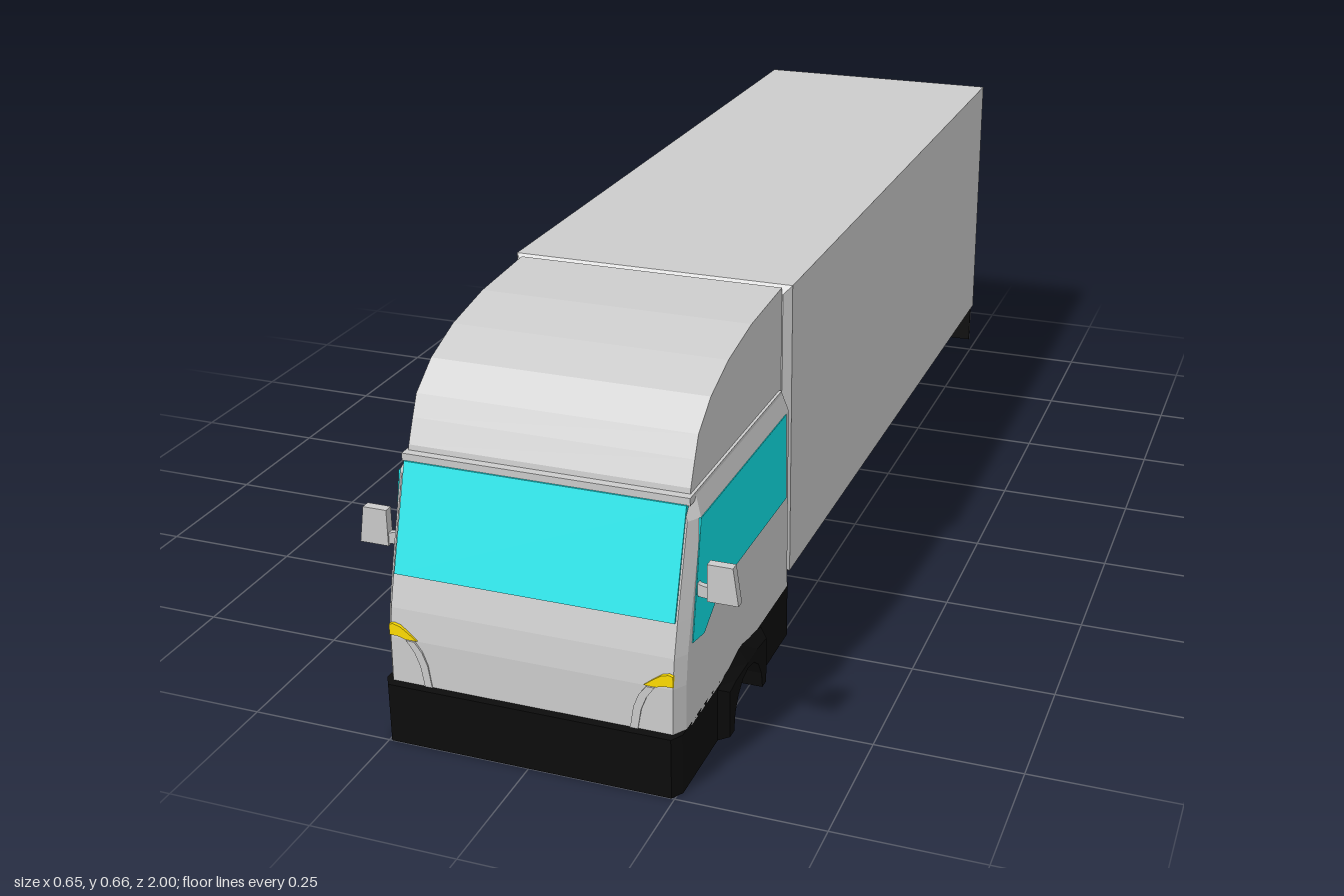
import * as THREE from 'three';

const mat = (color) => new THREE.MeshStandardMaterial({ color, flatShading: true });
const grey = mat(0xcccccc), black = mat(0x0c0c0c), glass = mat(0x0fe5e9);
const yellow = mat(0xffdd00), red = mat(0xdd1111);

export function createModel() {
  const model = new THREE.Group();
  const add = (name, geometry, material, parent = model) => {
    const mesh = new THREE.Mesh(geometry, material);
    mesh.name = name;
    parent.add(mesh);
    return mesh;
  };
  const shapeOf = (pts) => new THREE.Shape(pts.map((p) => new THREE.Vector2(p[0], p[1])));
  const extrude = (shape, depth) => new THREE.ExtrudeGeometry(shape, { depth, bevelEnabled: false, curveSegments: 10 });
  const box = (x0, x1, y0, y1, z0, z1) => new THREE.BoxGeometry(x1 - x0, y1 - y0, z1 - z0)
    .translate((x0 + x1) / 2, (y0 + y1) / 2, (z0 + z1) / 2);
  // side profile of [z, y] points, extruded from x0 to x1
  const profile = (pts, x0, x1) => extrude(shapeOf(pts), x1 - x0).rotateY(-Math.PI / 2).translate(x1, 0, 0);
  // skin over stacked rings: [{ y, ring: [[x, z], ...] }], with both ends closed
  const loft = (sections) => {
    const pos = [], n = sections[0].ring.length;
    const put = (s, i) => pos.push(s.ring[i % n][0], s.y, s.ring[i % n][1]);
    for (let k = 0; k + 1 < sections.length; k++) {
      const a = sections[k], b = sections[k + 1];
      for (let i = 0; i < n; i++) {
        put(a, i); put(a, i + 1); put(b, i + 1);
        put(a, i); put(b, i + 1); put(b, i);
      }
    }
    const bottom = sections[0], top = sections[sections.length - 1];
    for (let i = 1; i + 1 < n; i++) {
      put(top, 0); put(top, i); put(top, i + 1);
      put(bottom, 0); put(bottom, i + 1); put(bottom, i);
    }
    const g = new THREE.BufferGeometry();
    g.setAttribute('position', new THREE.Float32BufferAttribute(pos, 3));
    g.computeVertexNormals();
    return g;
  };

  // cargo box with chamfered edges
  const c = 0.013, hw = 0.255 - c;
  const cargo = new THREE.ExtrudeGeometry(
    shapeOf([[-hw, 0.12 + c], [hw, 0.12 + c], [hw, 0.66 - c], [-hw, 0.66 - c]]),
    { depth: 1.455 - 2 * c, bevelEnabled: true, bevelSegments: 1, bevelSize: c, bevelThickness: c });
  add('cargoBox', cargo.translate(0, 0, -1 + c), grey);
  add('cargoFloor', box(-0.247, 0.247, 0.113, 0.125, -0.99, 0.46), black);

  // cab shell: [y, front z, half width]
  const cab = [[0.1, 0.985, 0.257], [0.185, 0.983, 0.257], [0.235, 0.975, 0.257],
    [0.29, 0.96, 0.257], [0.44, 0.914, 0.257], [0.47, 0.903, 0.245]];
  add('cabShell', loft(cab.map(([y, z, w]) => ({
    y, ring: [[-w, 0.463], [-w, z - 0.022], [-w + 0.014, z], [w - 0.014, z], [w, z - 0.022], [w, 0.463]],
  }))), grey);

  // roof fairing and the visor strip beneath it
  add('roofFairing', profile([[0.455, 0.465], [0.893, 0.465], [0.89, 0.485], [0.872, 0.525], [0.855, 0.56],
    [0.80, 0.60], [0.72, 0.63], [0.61, 0.65], [0.455, 0.659]], -0.24, 0.24), grey);
  add('visorStrip', box(-0.245, 0.245, 0.463, 0.476, 0.465, 0.906), grey);

  // windscreen and side windows
  add('windscreen', loft([[0.29, 0.96], [0.464, 0.905]].map(([y, z]) => ({
    y, ring: [[-0.24, z - 0.01], [-0.24, z + 0.004], [0.24, z + 0.004], [0.24, z - 0.01]],
  }))), glass);
  const windowPts = [[0.935, 0.245], [0.895, 0.44], [0.48, 0.44], [0.475, 0.28], [0.75, 0.28], [0.83, 0.265], [0.885, 0.235]];
  add('sideWindowLeft', profile(windowPts, 0.25, 0.2585), glass);
  add('sideWindowRight', profile(windowPts, -0.2585, -0.25), glass);

  // bumper and lower skirt, with a wheel well pocket on each side
  add('skirtCore', box(-0.16, 0.16, 0, 0.106, 0.46, 0.975), black);
  add('bumper', loft([0, 0.106].map((y) => ({
    y, ring: [[-0.257, 0.965], [-0.257, 0.98], [-0.245, 1], [0.245, 1], [0.257, 0.98], [0.257, 0.965]],
  }))), black);
  const arch = [];
  for (let i = 0; i <= 8; i++) {
    const a = (i / 8) * Math.PI;
    arch.push([0.715 - 0.072 * Math.cos(a), 0.08 * Math.sin(a)]);
  }
  const skirt = [[0.46, 0], ...arch, [0.97, 0], [0.97, 0.106], [0.46, 0.106]];
  const flarePts = [[0.60, 0], ...arch, [0.83, 0], [0.83, 0.1], [0.79, 0.11],
    [0.72, 0.125], [0.66, 0.112], [0.60, 0.1]];
  for (const side of [1, -1]) {
    const [x0, x1] = side > 0 ? [0.15, 0.257] : [-0.257, -0.15];
    add('wheelWellSkirt', profile(skirt, x0, x1), black);
    // flare narrows towards its outer face
    const flare = side > 0 ? profile(flarePts, 0.25, 0.273) : profile(flarePts, -0.273, -0.25);
    const p = flare.attributes.position;
    for (let i = 0; i < p.count; i++) {
      const dz = p.getZ(i) - 0.715, y = p.getY(i);
      if (Math.abs(p.getX(i)) > 0.26 && (Math.abs(dz) > 0.0725 || y > 0.085)) {
        p.setZ(i, 0.715 + dz * 0.8);
        p.setY(i, y > 0.105 ? 0.09 : y * 0.85);
      }
    }
    flare.computeVertexNormals();
    add('wheelArchFlare', flare, black);
  }

  // parts mirrored left and right
  for (const side of [1, -1]) {
    const s = (pts) => shapeOf(pts.map(([x, y]) => [side * x, y]));

    // headlight and the trim that curves down from it
    add('headlight', extrude(s([[0.195, 0.186], [0.212, 0.199], [0.225, 0.208], [0.237, 0.211],
      [0.244, 0.209], [0.244, 0.19], [0.23, 0.19], [0.216, 0.186]]), 0.02).translate(0, 0, 0.965), yellow);
    add('headlightTrim', extrude(s([[0.172, 0.106], [0.178, 0.145], [0.187, 0.168], [0.2, 0.185],
      [0.214, 0.185], [0.2, 0.165], [0.191, 0.142], [0.185, 0.106]]), 0.01).translate(0, 0, 0.9765), grey);

    // wing mirror
    const mirror = new THREE.Group();
    mirror.name = 'wingMirror';
    model.add(mirror);
    add('mirrorHousing', extrude(s([[0.275, 0.31], [0.326, 0.31], [0.317, 0.374], [0.275, 0.374]]), 0.016)
      .translate(0, 0, 0.9), grey, mirror);
    add('mirrorGlass', extrude(s([[0.279, 0.315], [0.32, 0.315], [0.313, 0.369], [0.279, 0.369]]), 0.003)
      .translate(0, 0, 0.898), glass, mirror);
    add('mirrorArm', extrude(s([[0.24, 0.318], [0.255, 0.315], [0.277, 0.313], [0.277, 0.332],
      [0.262, 0.335], [0.24, 0.35]]), 0.01).translate(0, 0, 0.903), grey, mirror);

    // tail lamp: plate, outlined pill, yellow outer end and a grey round reflector
    const lamp = new THREE.Group();
    lamp.name = 'tailLamp';
    lamp.position.set(side * 0.19, 0.073, -0.985);
    model.add(lamp);
    const pill = (r, half) => {
      const shape = new THREE.Shape();
      shape.absarc(half, 0, r, -Math.PI / 2, Math.PI / 2);
      shape.absarc(-half, 0, r, Math.PI / 2, Math.PI * 1.5);
      return shape;
    };
    const disc = (r) => new THREE.CylinderGeometry(r, r, 0.002, 20).rotateX(Math.PI / 2);
    add('lampPlate', box(-0.06, 0.06, -0.04, 0.05, -0.004, 0), grey, lamp);
    add('lampBacking', box(-0.06, 0.06, -0.04, 0.05, 0, 0.004), black, lamp);
    add('lampRim', extrude(pill(0.028, 0.024), 0.002).translate(0, 0, -0.006), black, lamp);
    add('yellowLens', extrude(pill(0.025, 0.024), 0.002).translate(0, 0, -0.007), yellow, lamp);
    add('redLens', extrude(pill(0.025, 0.016), 0.002).translate(-side * 0.008, 0, -0.008), red, lamp);
    add('reflector', disc(0.017).translate(-side * 0.022, 0, -0.0085), grey, lamp);
  }
  return model;
}
